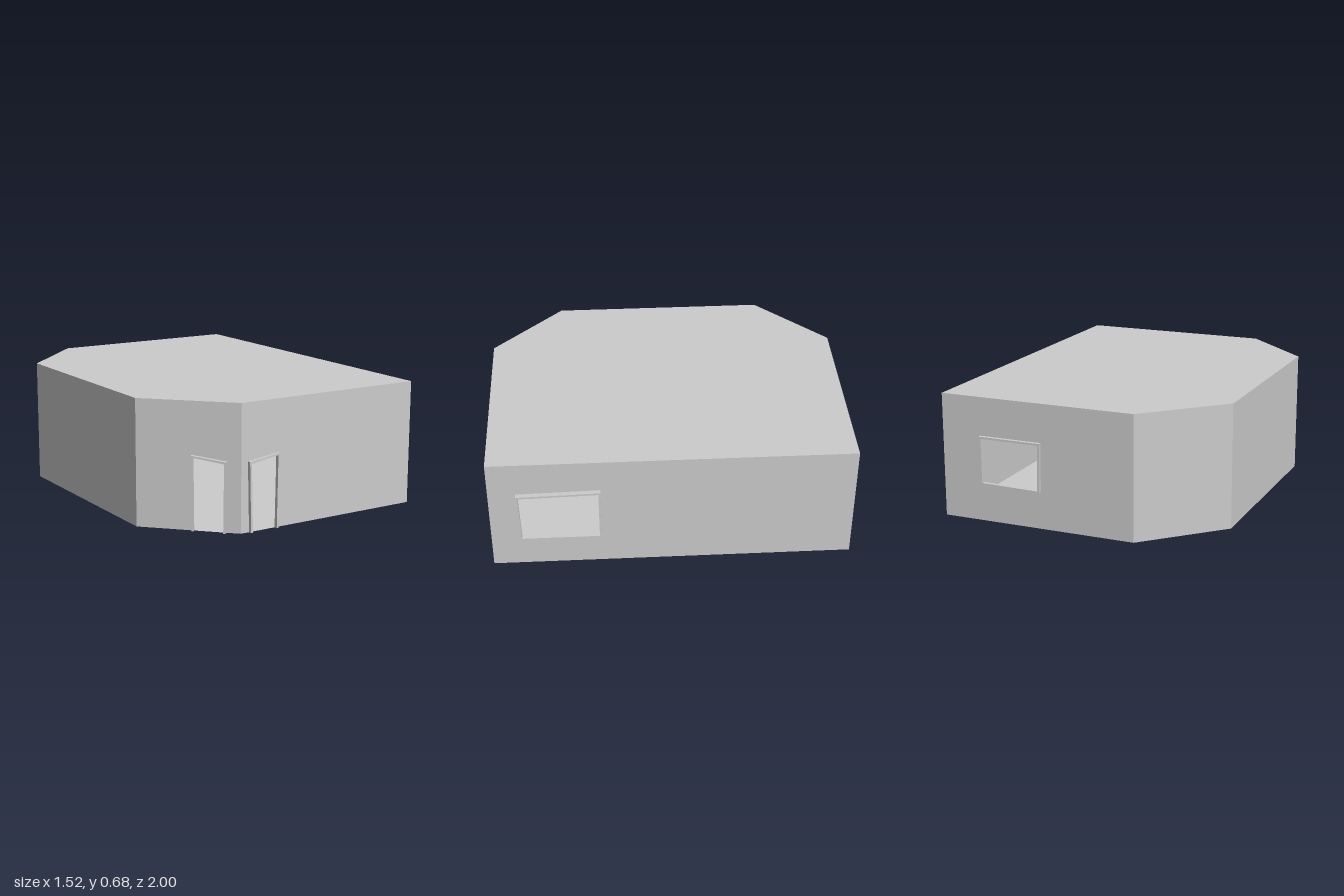
import * as THREE from 'three';

const H = 0.68; // wall height
const material = new THREE.MeshStandardMaterial({ color: 0xcccccc, flatShading: true, side: THREE.DoubleSide });

// Footprint corners as [x, z], running from the front face around by the right
const corners = [[-0.37, 0.98], [0.73, 0.98], [0.73, -0.98], [-0.37, -0.98], [-0.76, -0.59], [-0.76, 0.59]];

// Openings: outer frame corners in wall coordinates (bottom left, bottom right, top right, top left)
const openings = {
  0: { name: 'frontDoorFrame', door: true, depth: 0.02, quad: [[0.05, 0], [0.22, 0], [0.225, 0.4], [0.04, 0.375]] },
  1: { name: 'sideWindowFrame', depth: 0.027, quad: [[0.155, 0.185], [0.595, 0.185], [0.595, 0.495], [0.147, 0.485]] },
  2: { name: 'backWindowFrame', depth: 0.02, quad: [[0.228, 0.205], [0.575, 0.2], [0.58, 0.47], [0.225, 0.47]] },
  5: { name: 'cornerDoorFrame', door: true, depth: 0.02, quad: [[0.297, 0], [0.475, 0], [0.478, 0.375], [0.293, 0.4]] },
};
const wallNames = ['frontWall', 'sideWall', 'backWall', 'backCornerWall', 'longWall', 'frontCornerWall'];

const toShape = pts => new THREE.Shape(pts.map(p => new THREE.Vector2(p[0], p[1])));

function addMesh(parent, name, geometry) {
  const mesh = new THREE.Mesh(geometry, material);
  mesh.name = name;
  parent.add(mesh);
  return mesh;
}

// Shrinks a frame outline to the clear opening; doors stay open at the floor
function inset(quad, door, w = 0.011) {
  const [a, b, c, d] = quad;
  const up = door ? 0 : w;
  return [[a[0] + w, a[1] + up], [b[0] - w, b[1] + up], [c[0] - w, c[1] - w], [d[0] + w, d[1] - w]];
}

// One wall panel with its opening and a frame standing proud of it
function makeWall(index) {
  const a = corners[index], b = corners[(index + 1) % corners.length];
  const dx = b[0] - a[0], dz = b[1] - a[1], length = Math.hypot(dx, dz);
  const group = new THREE.Group();
  group.name = wallNames[index];
  group.position.set(a[0], 0, a[1]);
  group.rotation.y = Math.atan2(-dz, dx);

  const open = openings[index];
  const outline = [[0, 0], [length, 0], [length, H], [0, H]];
  if (open) {
    const q = open.quad, i = inset(q, open.door);
    let frame;
    if (open.door) {
      outline.splice(1, 0, i[0], i[3], i[2], i[1]);
      frame = toShape([q[0], i[0], i[3], i[2], i[1], q[1], q[2], q[3]]);
    } else {
      frame = toShape(q);
      frame.holes.push(toShape(i));
    }
    addMesh(group, open.name, new THREE.ExtrudeGeometry(frame, { depth: open.depth, bevelEnabled: false }));
  }
  const panel = toShape(outline);
  if (open && !open.door) panel.holes.push(toShape(inset(open.quad, false)));
  addMesh(group, 'wallPanel', new THREE.ShapeGeometry(panel));
  return group;
}

// Row of stacked boxes on a shelf, set against the inside of a wall
function makeShelf(index, name, start, end) {
  const a = corners[index], b = corners[(index + 1) % corners.length];
  const group = new THREE.Group();
  group.name = name;
  group.position.set(a[0], 0, a[1]);
  group.rotation.y = Math.atan2(a[1] - b[1], b[0] - a[0]);
  const depth = 0.05, z = -depth / 2 - 0.004;
  const count = Math.round((end - start) / 0.1), step = (end - start) / count;
  for (let row = 0; row < 3; row++) {
    const height = [0.08, 0.04, 0.08][row], y = [0.3, 0.38, 0.42][row];
    for (let k = 0; k < count; k++) {
      const box = addMesh(group, 'shelfBox', new THREE.BoxGeometry(step, height, depth - 0.004 * ((k + row) % 2)));
      box.position.set(start + (k + 0.5) * step, y + height / 2, z);
    }
  }
  return group;
}

export function createModel() {
  const model = new THREE.Group();
  model.name = 'room';

  // Floor and roof share the footprint
  const plan = toShape(corners.map(([x, z]) => [x, -z]));
  for (const [name, y] of [['floor', 0], ['roof', H]]) {
    const slab = addMesh(model, name, new THREE.ShapeGeometry(plan).rotateX(-Math.PI / 2));
    slab.position.y = y;
  }

  // Walls with doors and windows
  corners.forEach((_, i) => model.add(makeWall(i)));

  // Shelving inside
  model.add(makeShelf(4, 'longWallShelf', 0.06, 1.17));
  model.add(makeShelf(2, 'backWallShelf', 0.8, 1.08));
  model.add(makeShelf(3, 'cornerShelf', 0.06, 0.49));
  return model;
}
